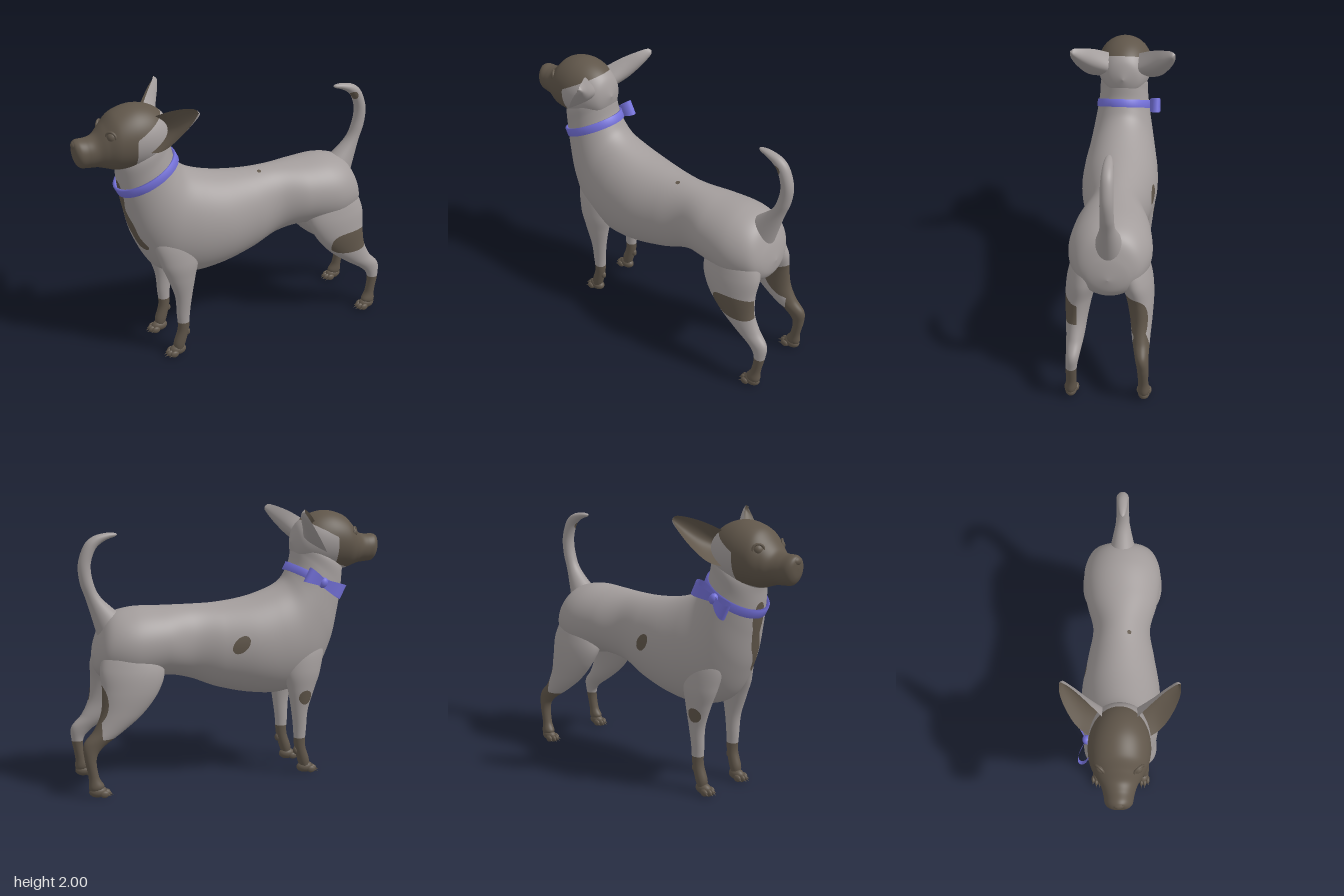
import * as THREE from 'three';

const coat = new THREE.MeshStandardMaterial({ color: 0xa39d9c });
coat.name = 'grey coat';
const patch = new THREE.MeshStandardMaterial({ color: 0x60564a });
patch.name = 'brown patch';
const ribbon = new THREE.MeshStandardMaterial({ color: 0x7572dc, side: THREE.DoubleSide });
ribbon.name = 'blue ribbon';

const { hypot, min, max, abs, sin, cos, PI } = Math;

function addMesh(parent, name, geometry, material) {
  const mesh = new THREE.Mesh(geometry, material);
  mesh.name = name;
  parent.add(mesh);
  return mesh;
}

function surface(pos, index) {
  const g = new THREE.BufferGeometry();
  g.setAttribute('position', new THREE.Float32BufferAttribute(pos, 3));
  g.setIndex(index);
  g.computeVertexNormals();
  return g;
}

function spline(rows, t) {
  const n = rows.length - 1;
  const i = min(Math.floor(t * n), n - 1);
  const k = t * n - i;
  const [a, b, c, d] = [-1, 0, 1, 2].map((o) => rows[min(max(i + o, 0), n)]);
  return b.map((_, j) => 0.5 * (2 * b[j] + (c[j] - a[j]) * k
    + (2 * a[j] - 5 * b[j] + 4 * c[j] - d[j]) * k * k
    + (3 * b[j] - a[j] - 3 * c[j] + d[j]) * k * k * k));
}

// Smooth skin over oval sections [x, yA, zA, yB, zB, halfWidth]; A and B are opposite rims.
// Where field(x, y, z) < 0 the skin is brown; triangles are cut along its zero line.
function loft(parent, name, rings, along, around, field) {
  const pos = [];
  for (let i = 0; i <= along; i++) {
    const [x, ya, za, yb, zb, w] = spline(rings, i / along);
    for (let j = 0; j < around; j++) {
      const a = (j / around) * PI * 2;
      const s = sin(a) / 2;
      pos.push(x + max(w, 0) * cos(a), (ya + yb) / 2 + (yb - ya) * s, (za + zb) / 2 + (zb - za) * s);
    }
  }
  const value = [];
  for (let i = 0; i < pos.length; i += 3) value.push(field(pos[i], pos[i + 1], pos[i + 2]));
  const cuts = new Map();
  const cut = (a, b) => {
    const [p, q] = a < b ? [a, b] : [b, a];
    const key = p + '_' + q;
    if (!cuts.has(key)) {
      const t = value[p] / (value[p] - value[q]);
      cuts.set(key, pos.length / 3);
      for (let k = 0; k < 3; k++) pos.push(pos[p * 3 + k] * (1 - t) + pos[q * 3 + k] * t);
    }
    return cuts.get(key);
  };
  const faces = [[], []];
  const addFace = (...tri) => [1, -1].forEach((sign, side) => {
    const poly = [];
    tri.forEach((a, k) => {
      const b = tri[(k + 1) % 3];
      if ((value[a] < 0) === (sign < 0)) poly.push(a);
      if ((value[a] < 0) !== (value[b] < 0)) poly.push(cut(a, b));
    });
    for (let k = 2; k < poly.length; k++) faces[side].push(poly[0], poly[k - 1], poly[k]);
  });
  for (let i = 0; i < along; i++) {
    for (let j = 0; j < around; j++) {
      const a = i * around + j;
      const b = i * around + ((j + 1) % around);
      addFace(a, b, a + around);
      addFace(b, b + around, a + around);
    }
  }
  const g = surface(pos, [...faces[0], ...faces[1]]);
  g.addGroup(0, faces[0].length, 0);
  g.addGroup(faces[0].length, faces[1].length, 1);
  return addMesh(parent, name, g, [coat, patch]);
}

function ball(parent, name, x, y, z, sx, sy, sz) {
  const m = addMesh(parent, name, new THREE.SphereGeometry(1, 20, 14), patch);
  m.position.set(x, y, z);
  m.scale.set(sx, sy, sz);
  return m;
}

// Foot with pad, four toes and claws
function addPaw(parent, name, x, z) {
  const paw = new THREE.Group();
  paw.name = name;
  paw.position.set(x, 0, z);
  parent.add(paw);
  ball(paw, 'pad', 0, 0.042, -0.01, 0.043, 0.042, 0.065);
  for (let i = 0; i < 4; i++) {
    const tx = (i - 1.5) * 0.025;
    const tz = abs(i - 1.5) < 1 ? 0.05 : 0.03;
    ball(paw, 'toe', tx, 0.027, tz, 0.016, 0.026, 0.032);
    const claw = addMesh(paw, 'claw', new THREE.ConeGeometry(0.008, 0.035, 8), patch);
    claw.position.set(tx * 1.1, 0.018, tz + 0.034);
    claw.rotation.x = 1.95;
  }
}

// Cupped ear: coat outside, brown lining inside
function addEar(parent, side) {
  const curve = (pts) => new THREE.CatmullRomCurve3(pts.map((p) => new THREE.Vector3(...p)));
  const inner = curve([[0.1, 1.89, 0.74], [0.21, 1.955, 0.65], [0.3, 1.99, 0.58], [0.365, 2.0, 0.54], [0.388, 1.985, 0.53]]);
  const outer = curve([[0.15, 1.66, 0.82], [0.27, 1.705, 0.75], [0.35, 1.81, 0.66], [0.39, 1.92, 0.575], [0.39, 1.98, 0.53]]);
  const N = 28;
  for (const lining of [false, true]) {
    const pos = [];
    const idx = [];
    for (let i = 0; i <= N; i++) {
      for (let j = 0; j <= N; j++) {
        const p = inner.getPoint(i / N).lerp(outer.getPoint(i / N), j / N);
        const bow = sin(PI * j / N);
        const cup = bow * (1 - i / N) ** 0.8;
        pos.push(side * (p.x - 0.03 * cup), p.y, p.z - 0.13 * cup + (lining ? 0.012 * bow : 0));
        if (i === N || j === N) continue;
        const a = i * (N + 1) + j;
        const b = a + N + 1;
        if ((side > 0) !== lining) idx.push(a, b, a + 1, b, b + 1, a + 1);
        else idx.push(a, a + 1, b, b, a + 1, b + 1);
      }
    }
    addMesh(parent, lining ? 'earLining' : 'earBack', surface(pos, idx), lining ? patch : coat);
  }
}

// Brown markings: negative inside
const spot = (x, y, z, cx, cy, cz, r) => hypot(x - cx, y - cy, z - cz) - r;
function bodyMarks(x, y, z) {
  const bibX = x - max(0, 1.2 - y) * 0.33;
  const bib = max(0.7 - z, hypot(bibX, max(0, 0.95 - y, y - 1.39)) - 0.046 - 0.008 * sin(y * 30));
  const [dy, dz] = [y - 1.03, z - 0.11];
  return min(bib, max(x, hypot((dz + dy) / 0.11, (dy - dz) / 0.07) - 1), spot(x, y, z, 0.06, 1.31, -0.09, 0.02));
}
const headMarks = (x, y, z) => max(0.89 - max(0, y - 1.78) * 1.9 - z, 1.58 - (z - 0.9) * 0.3 - y);
const leftThighMarks = (x, y, z) => min(y - 0.28,
  max(0.215 - x, (abs((y - 0.66) / 0.09) ** 3 + abs((z + 0.785) / 0.18) ** 3 - 1) * 0.1));
const rightThighMarks = (x, y, z) => min(y - 0.42, max(y - 0.56, z + 0.93),
  (hypot((y - 0.66) / 0.15, (z + 0.97 - (x + 0.2) * 0.8) / 0.15) - 1) * 0.15);

export function createModel() {
  const model = new THREE.Group();
  const dog = new THREE.Group();
  dog.name = 'dog';
  dog.position.set(-0.015, 0, -0.013);
  dog.rotation.y = -0.695;
  model.add(dog);

  // Torso and neck, rump to throat
  loft(dog, 'body', [
    [0, 0.98, -0.935, 0.98, -0.935, 0], [0, 0.87, -0.92, 1.13, -0.89, 0.15],
    [0, 0.8, -0.85, 1.26, -0.81, 0.24], [0, 0.76, -0.68, 1.31, -0.65, 0.29],
    [0, 0.8, -0.42, 1.31, -0.43, 0.265], [0, 0.765, -0.22, 1.31, -0.2, 0.212],
    [0, 0.68, 0, 1.315, 0, 0.245], [0, 0.62, 0.26, 1.345, 0.22, 0.285],
    [0, 0.61, 0.5, 1.4, 0.4, 0.285], [0, 0.7, 0.74, 1.455, 0.5, 0.262],
    [0, 0.95, 0.885, 1.52, 0.55, 0.232], [0, 1.2, 0.95, 1.59, 0.58, 0.205],
    [0, 1.38, 0.98, 1.68, 0.595, 0.187], [0, 1.5, 0.99, 1.76, 0.61, 0.18],
    [0, 1.56, 1.0, 1.82, 0.66, 0.14],
  ], 190, 88, bodyMarks);

  // Skull and muzzle
  loft(dog, 'head', [
    [0, 1.74, 0.58, 1.74, 0.58, 0], [0, 1.6, 0.62, 1.87, 0.63, 0.12],
    [0, 1.53, 0.74, 1.945, 0.73, 0.185], [0, 1.52, 0.87, 1.97, 0.86, 0.207],
    [0, 1.53, 1.0, 1.935, 0.99, 0.192], [0, 1.555, 1.08, 1.86, 1.07, 0.15],
    [0, 1.57, 1.13, 1.8, 1.13, 0.118], [0, 1.575, 1.19, 1.785, 1.19, 0.1],
    [0, 1.585, 1.245, 1.785, 1.25, 0.088], [0, 1.63, 1.275, 1.765, 1.28, 0.055],
    [0, 1.7, 1.285, 1.7, 1.285, 0],
  ], 110, 72, headMarks);
  ball(dog, 'nose', 0, 1.745, 1.262, 0.042, 0.032, 0.03);

  // Curled tail
  loft(dog, 'tail', [
    [0, 1.25, -0.71, 1.1, -0.89, 0.1], [0, 1.385, -0.86, 1.36, -0.965, 0.054],
    [0, 1.5, -0.915, 1.495, -1.01, 0.047], [0, 1.62, -0.93, 1.63, -1.02, 0.045],
    [0, 1.72, -0.9, 1.76, -0.975, 0.043], [0, 1.77, -0.855, 1.82, -0.91, 0.038],
    [0, 1.8, -0.8, 1.843, -0.82, 0.03], [0, 1.815, -0.755, 1.842, -0.755, 0.018],
    [0, 1.83, -0.735, 1.83, -0.735, 0],
  ], 60, 28, (x, y, z) => spot(x, y, z, 0.03, 1.74, -0.9, 0.035));

  for (const side of [1, -1]) {
    const label = side > 0 ? 'left' : 'right';
    const mirror = (rings) => rings.map(([x, ...rest]) => [x * side, ...rest]);

    loft(dog, label + 'FrontLeg', mirror([
      [0.1, 1.12, 0.58, 1.12, 0.68, 0.04], [0.14, 0.98, 0.47, 0.98, 0.79, 0.09],
      [0.183, 0.8, 0.47, 0.8, 0.76, 0.085], [0.195, 0.66, 0.5, 0.66, 0.71, 0.07],
      [0.195, 0.5, 0.53, 0.5, 0.66, 0.052], [0.19, 0.35, 0.55, 0.35, 0.65, 0.043],
      [0.188, 0.22, 0.56, 0.22, 0.645, 0.04], [0.185, 0.1, 0.59, 0.1, 0.68, 0.042],
      [0.185, 0.03, 0.62, 0.03, 0.67, 0.03],
    ]), 90, 40, (x, y, z) => min(y - 0.28, side < 0 ? spot(x, y, z, -0.26, 0.6, 0.62, 0.055) : 1));
    ball(dog, 'wristPad', side * 0.188, 0.18, 0.57, 0.02, 0.03, 0.02);
    addPaw(dog, label + 'FrontPaw', side * 0.182, 0.66);

    loft(dog, label + 'HindLeg', mirror([
      [0.1, 1.14, -0.74, 1.14, -0.66, 0.03], [0.13, 1.04, -0.86, 1.04, -0.52, 0.11],
      [0.175, 0.9, -0.915, 0.88, -0.45, 0.117], [0.21, 0.75, -0.91, 0.73, -0.5, 0.1],
      [0.225, 0.6, -0.925, 0.58, -0.62, 0.08], [0.23, 0.48, -0.98, 0.46, -0.77, 0.064],
      [0.24, 0.39, -1.055, 0.36, -0.915, 0.048], [0.25, 0.29, -1.055, 0.28, -0.968, 0.04],
      [0.255, 0.15, -1.03, 0.15, -0.955, 0.036], [0.26, 0.07, -1.03, 0.08, -0.92, 0.042],
      [0.26, 0.03, -1.01, 0.04, -0.95, 0.02],
    ]), 110, 44, side > 0 ? leftThighMarks : rightThighMarks);
    addPaw(dog, label + 'HindPaw', side * 0.26, -0.955);

    addEar(dog, side);

    // Eye with a raised lid ring
    const eye = ball(dog, label + 'Eye', side * 0.113, 1.805, 1.035, 0.04, 0.04, 0.04);
    const lid = addMesh(dog, label + 'Eyelid', new THREE.TorusGeometry(0.038, 0.009, 10, 28), patch);
    lid.position.copy(eye.position).add(new THREE.Vector3(side * 0.012, 0.002, 0.014));
    lid.rotation.y = side * 0.7;
  }

  // Collar band, lower at the throat
  const collar = new THREE.Group();
  collar.name = 'collar';
  collar.position.set(0, 1.455, 0.77);
  collar.rotation.x = 0.459;
  dog.add(collar);
  const rim = [[0.19, -0.03], [0.207, -0.03], [0.207, 0.03], [0.19, 0.03], [0.19, -0.03]];
  addMesh(collar, 'band', new THREE.LatheGeometry(rim.map((p) => new THREE.Vector2(...p)), 72), ribbon).scale.z = 1.2;

  // Bow on the right of the collar: two flared open loops and a knot
  for (const end of [1, -1]) {
    const g = new THREE.CylinderGeometry(1, 1, 0.12, 32, 4, true);
    const p = g.attributes.position;
    for (let i = 0; i < p.count; i++) {
      const k = (1 + p.getZ(i) * end) / 2;
      p.setXYZ(i, -0.22 - 0.035 * k + p.getX(i) * (0.015 + 0.035 * k), p.getY(i) * (0.45 + 0.5 * k) - 0.008, end * 0.16 * k - 0.01);
    }
    g.computeVertexNormals();
    addMesh(collar, 'bowLoop', g, ribbon);
  }
  const knot = addMesh(collar, 'bowKnot', new THREE.SphereGeometry(1, 20, 14), ribbon);
  knot.position.set(-0.225, -0.008, -0.01);
  knot.scale.set(0.03, 0.04, 0.032);

  return model;
}
